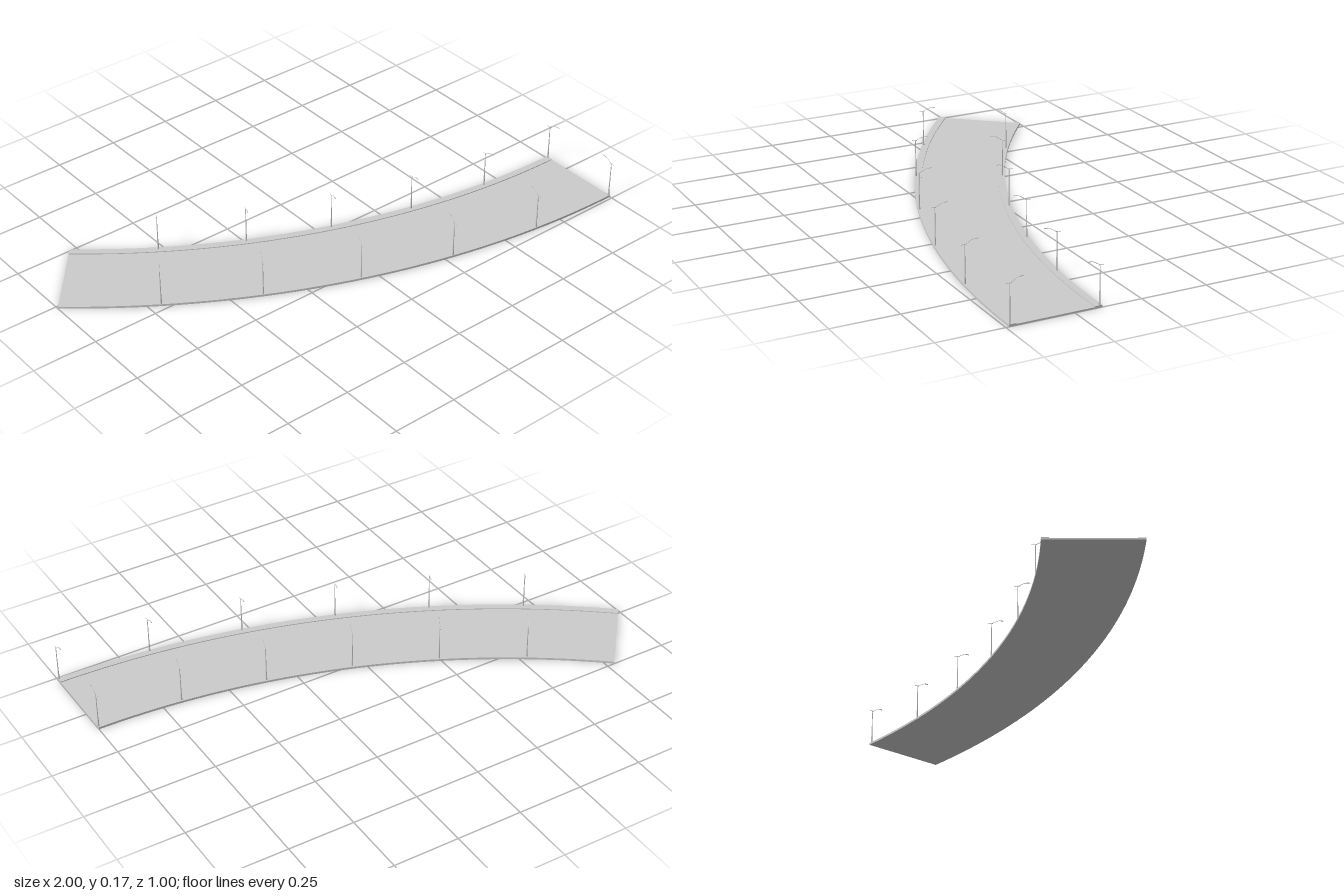
import * as THREE from 'three';

const ARC = THREE.MathUtils.degToRad(40);
const CENTRE = { x: 1, z: -2.621 };   // centre of the bend
const INNER = 2.769, OUTER = 3.111, WALK = 0.027;
const ROAD_H = 0.005, WALK_H = 0.008;

const grey = new THREE.MeshStandardMaterial({ color: 0xcccccc });

function add(parent, name, geometry, x = 0, y = 0, z = 0) {
  const mesh = new THREE.Mesh(geometry, grey);
  mesh.name = name;
  mesh.position.set(x, y, z);
  parent.add(mesh);
  return mesh;
}

// Flat slab following the bend between two radii, resting on y = 0
function arcSlab(r0, r1, height) {
  const shape = new THREE.Shape();
  shape.absarc(0, 0, r1, Math.PI / 2, Math.PI / 2 + ARC, false);
  shape.absarc(0, 0, r0, Math.PI / 2 + ARC, Math.PI / 2, true);
  return new THREE.ExtrudeGeometry(shape, { depth: height, bevelEnabled: false, curveSegments: 48 })
    .rotateX(Math.PI / 2)
    .translate(CENTRE.x, height, CENTRE.z);
}

// Street lamp whose arm reaches along +z
function createLamp() {
  const lamp = new THREE.Group();
  lamp.name = 'streetLamp';
  add(lamp, 'poleBase', new THREE.CylinderGeometry(0.0026, 0.0032, 0.03, 8), 0, WALK_H + 0.015, 0);
  add(lamp, 'pole', new THREE.CylinderGeometry(0.0012, 0.0024, 0.142, 8), 0, WALK_H + 0.071, 0);
  add(lamp, 'crossbar', new THREE.BoxGeometry(0.0014, 0.0014, 0.02), 0, 0.148, -0.004);
  const armPath = new THREE.CatmullRomCurve3([
    [0, 0.148, 0], [0, 0.155, 0.012], [0, 0.163, 0.026], [0, 0.1655, 0.036],
  ].map((p) => new THREE.Vector3(...p)));
  add(lamp, 'arm', new THREE.TubeGeometry(armPath, 10, 0.0009, 6));
  add(lamp, 'lampHead', new THREE.BoxGeometry(0.003, 0.002, 0.014), 0, 0.1655, 0.04);
  return lamp;
}

export function createModel() {
  const model = new THREE.Group();
  model.name = 'curvedRoad';

  // Carriageway between two raised pavements
  add(model, 'carriageway', arcSlab(INNER + WALK, OUTER - WALK, ROAD_H));
  add(model, 'innerPavement', arcSlab(INNER, INNER + WALK, WALK_H));
  add(model, 'outerPavement', arcSlab(OUTER - WALK, OUTER, WALK_H));

  // Six evenly spaced lamps per side, arms over the road
  for (let i = 0; i < 6; i++) {
    const a = (i / 6) * ARC;
    for (const [radius, turn] of [[INNER + 0.009, 0], [OUTER - 0.005, Math.PI]]) {
      const lamp = createLamp();
      const x = CENTRE.x - radius * Math.sin(a);
      lamp.position.set(Math.min(x, 0.997), 0, CENTRE.z + radius * Math.cos(a));
      lamp.rotation.y = turn - a;
      model.add(lamp);
    }
  }
  return model;
}
